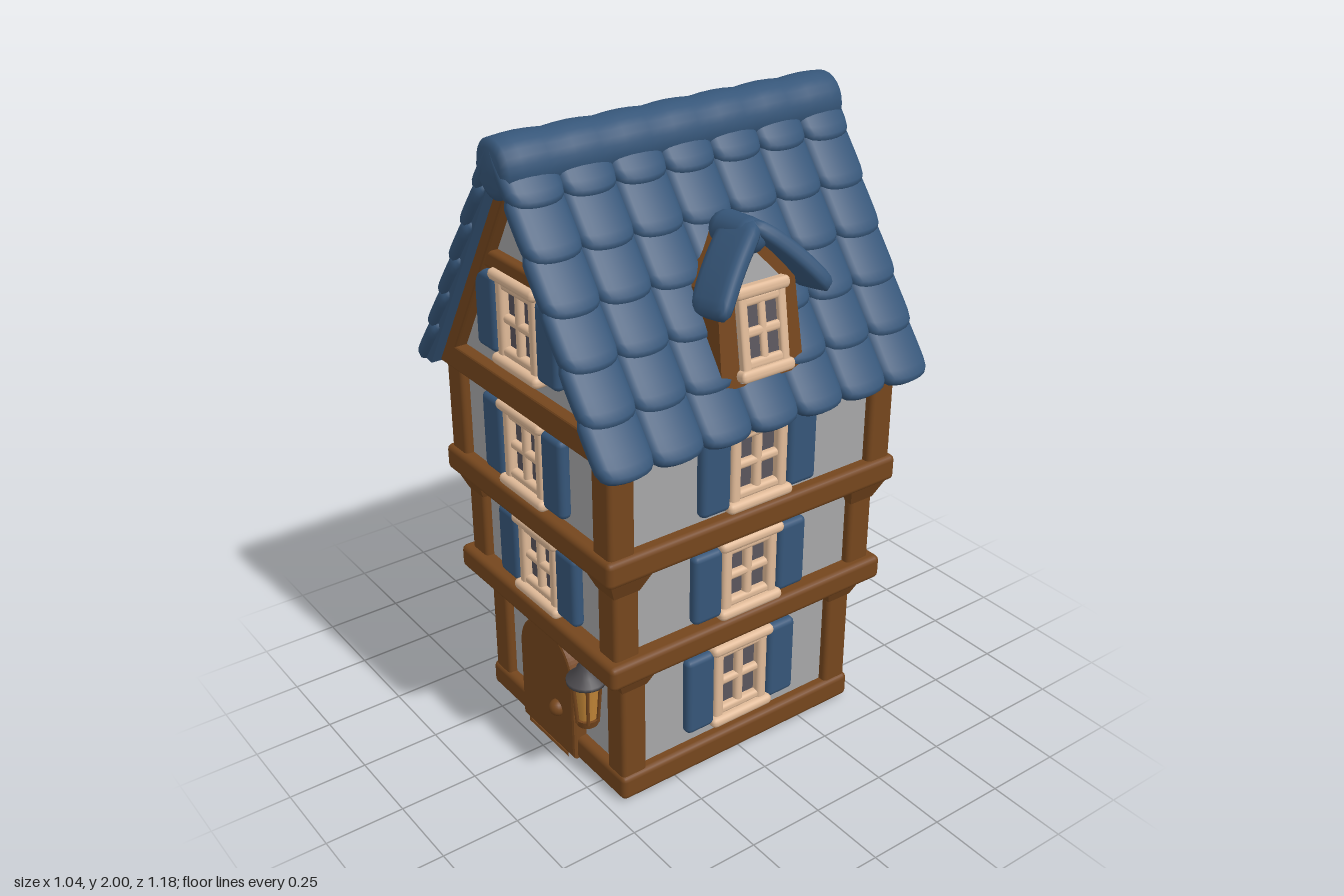
import * as THREE from 'three';
import { mergeGeometries, mergeVertices } from 'three/addons/utils/BufferGeometryUtils.js';
import { RoundedBoxGeometry } from 'three/addons/geometries/RoundedBoxGeometry.js';

const mat = (name, color) => Object.assign(new THREE.MeshStandardMaterial({ color }), { name });
const M = {
  blue: mat('slate blue', 0x365679), timber: mat('timber brown', 0x75461d),
  cream: mat('window cream', 0xe0ba98), wall: mat('plaster grey', 0xa6a6a8),
  glass: mat('window glass', 0x5a555c), iron: mat('lantern iron', 0x4c4a4e),
  amber: mat('lantern amber', 0xc08436),
};

function add(parent, name, geo, material, x = 0, y = 0, z = 0) {
  const m = new THREE.Mesh(geo, material);
  m.name = name;
  m.position.set(x, y, z);
  parent.add(m);
  return m;
}
const rbox = (w, h, d, r = 0.012) => new RoundedBoxGeometry(w, h, d, 2, Math.min(r, w / 2.1, h / 2.1, d / 2.1));
const poly = (pts) => pts.map(([x, y]) => new THREE.Vector2(x, y));
const extrude = (shape, depth, bevel = 0) => new THREE.ExtrudeGeometry(shape, {
  depth, curveSegments: 20, bevelEnabled: bevel > 0, bevelSize: bevel, bevelThickness: bevel, bevelOffset: -bevel, bevelSegments: 2,
});

// Box softened into a superellipsoid, then bent by a rule on (-1..1) coordinates
function softBox(w, h, d, bend) {
  const g = new THREE.BoxGeometry(2, 2, 2, 6, 4, 8);
  g.deleteAttribute('uv');
  g.deleteAttribute('normal');
  const geo = mergeVertices(g), p = geo.attributes.position, v = new THREE.Vector3();
  for (let i = 0; i < p.count; i++) {
    v.fromBufferAttribute(p, i);
    const big = Math.max(Math.abs(v.x), Math.abs(v.y), Math.abs(v.z));
    v.multiplyScalar(big / Math.pow(v.x ** 6 + v.y ** 6 + v.z ** 6, 1 / 6));
    const n = v.clone();
    v.set(v.x * w / 2, v.y * h / 2, v.z * d / 2);
    bend(v, n);
    p.setXYZ(i, v.x, v.y, v.z);
  }
  geo.computeVertexNormals();
  return geo;
}

// Four-pane window facing +z, with optional shutters
function makeWindow(h, shutterH) {
  const g = new THREE.Group();
  g.name = 'window';
  add(g, 'glass', new THREE.BoxGeometry(0.18, h - 0.04, 0.008), M.glass, 0, 0, 0.004);
  for (const s of [-1, 1]) {
    add(g, 'stile', rbox(0.035, h - 0.04, 0.045), M.cream, s * 0.085, 0, 0.012);
    add(g, 'rail', rbox(0.17, 0.03, 0.04), M.cream, 0, s * (h / 2 - 0.045), 0.01);
    add(g, s > 0 ? 'lintel' : 'sill', rbox(0.235, 0.035, 0.065, 0.016), M.cream, 0, s * (h / 2 - 0.0175), 0.017);
    if (shutterH) add(g, 'shutter', rbox(0.105, shutterH, 0.04, 0.018), M.blue, s * 0.158, 0, 0.018);
  }
  add(g, 'mullion', rbox(0.03, h - 0.05, 0.03), M.cream, 0, 0, 0.012);
  add(g, 'crossbar', rbox(0.17, 0.028, 0.03), M.cream, 0, 0, 0.012);
  return g;
}

function makeDoor() {
  const g = new THREE.Group();
  g.name = 'door';
  const arch = (Type, r) => new Type().moveTo(-r, 0).lineTo(r, 0).lineTo(r, 0.28).absarc(0, 0.28, r, 0, Math.PI, false).lineTo(-r, 0);
  const frame = arch(THREE.Shape, 0.15);
  frame.holes.push(arch(THREE.Path, 0.105));
  add(g, 'doorFrame', extrude(frame, 0.05, 0.01), M.timber, 0, 0.005, 0.405);
  add(g, 'doorLeaf', extrude(arch(THREE.Shape, 0.11), 0.047), M.timber, 0, 0.005, 0.405);
  add(g, 'doorKnob', new THREE.SphereGeometry(0.028, 16, 12), M.timber, 0.06, 0.155, 0.465);
  g.position.x = -0.02;
  return g;
}

function makeLantern() {
  const g = new THREE.Group();
  g.name = 'lantern';
  const profile = [[0, 0.425], [0.016, 0.42], [0.02, 0.405], [0.028, 0.395], [0.036, 0.37], [0.062, 0.352], [0.062, 0.34], [0, 0.335]];
  add(g, 'lanternCap', new THREE.LatheGeometry(poly(profile).reverse(), 20), M.iron);
  add(g, 'lanternGlass', new THREE.CylinderGeometry(0.04, 0.03, 0.14, 16), M.amber, 0, 0.27, 0);
  add(g, 'lanternBase', new THREE.CylinderGeometry(0.04, 0.034, 0.025, 16), M.timber, 0, 0.197, 0);
  for (let i = 0; i < 6; i++) {
    const a = i * Math.PI / 3;
    const bar = new THREE.TubeGeometry(new THREE.LineCurve3(
      new THREE.Vector3(0.036 * Math.sin(a), 0.2, 0.036 * Math.cos(a)),
      new THREE.Vector3(0.048 * Math.sin(a), 0.345, 0.048 * Math.cos(a))), 1, 0.006, 6);
    add(g, 'lanternBar', bar, M.timber);
  }
  g.position.set(0.19, 0, 0.452);
  return g;
}

// Dormer facing +x, leaning back slightly
function makeDormer() {
  const g = new THREE.Group();
  g.name = 'dormer';
  const body = new THREE.Shape(poly([[-0.145, -0.01], [0.145, -0.01], [0.135, 0.27], [0, 0.42], [-0.135, 0.27]]));
  add(g, 'dormerBody', extrude(body, 0.22), M.timber, -0.22).rotation.y = Math.PI / 2;
  const panel = new THREE.Shape(poly([[-0.08, 0], [0.08, 0], [0.08, 0.27], [0, 0.355], [-0.08, 0.27]]));
  add(g, 'dormerPanel', extrude(panel, 0.006), M.wall).rotation.y = Math.PI / 2;
  const win = makeWindow(0.27);
  win.scale.set(0.8, 1, 0.6);
  win.position.set(0.005, 0.14, 0);
  win.rotation.y = Math.PI / 2;
  g.add(win);
  // Swept roof wings
  for (const s of [-1, 1]) {
    const wing = softBox(0.15, 0.05, 0.29, (v, n) => {
      v.x += 0.035 * n.z * s;
      v.y -= 0.012 * n.z * n.z;
    });
    const m = add(g, 'dormerRoof', wing, M.blue, -0.005, 0.335, s * 0.1);
    m.rotation.x = s * 0.82;
  }
  const cap = add(g, 'dormerRidge', new THREE.CapsuleGeometry(0.052, 0.09, 8, 16), M.blue, -0.065, 0.4, 0);
  cap.rotation.z = Math.PI / 2 - 0.1;
  g.position.set(0.435, 1.32, 0);
  g.rotation.z = 0.15;
  return g;
}

function makeRoof() {
  const roof = new THREE.Group();
  roof.name = 'roof';
  const deck = new THREE.Shape(poly([[-0.485, 1.2], [-0.44, 1.19], [0, 1.92], [0.44, 1.19], [0.485, 1.2], [0, 1.975]]));
  add(roof, 'roofDeck', extrude(deck, 1.13), M.blue, 0, 0, -0.565);
  // Six courses of seven bulging tiles on each slope
  const rows = 6, cols = 7, pitch = 0.149, step = 0.166, tiles = [];
  for (let r = 0; r < rows; r++) for (let c = 0; c < cols; c++) {
    const t = softBox(0.19, 0.045, 0.176, (v, n) => {
      const crown = 1 - n.z * n.z;
      v.y += 0.012 * crown;
      if (n.x > 0) v.x += 0.018 * crown * n.x;
    });
    t.rotateZ(0.1);
    t.translate((r + 0.5) * pitch - 0.01, 0.008, (c - 3) * step);
    tiles.push(t);
  }
  const geo = mergeGeometries(tiles);
  for (const turn of [0, Math.PI]) {
    const side = new THREE.Group();
    side.name = 'roofSlope';
    side.rotation.y = turn;
    add(side, 'roofTiles', geo, M.blue, 0, 1.955, 0).rotation.z = Math.atan2(-0.76, 0.47);
    roof.add(side);
  }
  // Ridge roll
  const pts = [[0, -0.588], [0.06, -0.584]];
  for (let i = 0; i <= 28; i++) pts.push([0.084 + 0.005 * Math.abs(Math.sin(i * Math.PI / 4)), -0.57 + i * 1.14 / 28]);
  pts.push([0.06, 0.584], [0, 0.588]);
  add(roof, 'ridge', new THREE.LatheGeometry(poly(pts), 24), M.blue, 0, 1.91, 0).rotation.x = Math.PI / 2;
  return roof;
}

export function createModel() {
  const house = new THREE.Group();
  house.name = 'townhouse';

  // Horizontal beams between storeys: half width, half depth, bottom, top
  for (const [hx, hz, y0, y1] of [[0.38, 0.452, 0, 0.085], [0.428, 0.517, 0.46, 0.54], [0.445, 0.535, 0.82, 0.905]])
    add(house, 'floorBeam', rbox(hx * 2, y1 - y0, hz * 2, 0.018), M.timber, 0, (y0 + y1) / 2, 0);

  const place = (win, turn, dist, y) => {
    win.rotation.y = turn;
    win.position.set(Math.sin(turn) * dist, y, Math.cos(turn) * dist);
    house.add(win);
  };

  // Storeys, each wider than the one below
  const storeys = [
    { hx: 0.37, hz: 0.445, y0: 0.06, y1: 0.48, wy: 0.27, wh: 0.3, sh: 0.27 },
    { hx: 0.4, hz: 0.488, y0: 0.52, y1: 0.84, wy: 0.67, wh: 0.27, sh: 0.235 },
    { hx: 0.43, hz: 0.52, y0: 0.88, y1: 1.22, wy: 1.055, wh: 0.28, sh: 0.25 },
  ];
  storeys.forEach(({ hx, hz, y0, y1, wy, wh, sh }, i) => {
    const h = y1 - y0, inset = 0.027;
    add(house, 'wall', new THREE.BoxGeometry((hx - inset) * 2, h, (hz - inset) * 2), M.wall, 0, y0 + h / 2, 0);
    for (const sx of [-1, 1]) for (const sz of [-1, 1]) {
      const x = sx * (hx - 0.044), z = sz * (hz - 0.044);
      add(house, 'cornerPost', rbox(0.088, h, 0.088, 0.014), M.timber, x, y0 + h / 2, z);
      if (i < 2) {
        const flare = new THREE.CylinderGeometry(0.074 * Math.SQRT2, 0.044 * Math.SQRT2, 0.07, 4).rotateY(Math.PI / 4).toNonIndexed();
        flare.computeVertexNormals();
        add(house, 'corbel', flare, M.timber, x, y1 - 0.05, z);
      }
    }
    for (let k = 0; k < 4; k++) {
      if (i === 0 && k === 0) continue;
      place(makeWindow(wh, sh), k * Math.PI / 2, (k % 2 ? hx : hz) - inset, wy);
    }
  });

  // Gables with rafters, tie beam and collar
  add(house, 'gableWall', extrude(new THREE.Shape(poly([[-0.42, 1.2], [0.42, 1.2], [0, 1.91]])), 0.99), M.wall, 0, 0, -0.495);
  const truss = new THREE.Shape(poly([[-0.455, 1.19], [0.455, 1.19], [0, 1.935]]));
  truss.holes.push(new THREE.Path(poly([[-0.34, 1.27], [0, 1.85], [0.34, 1.27]])));
  for (const s of [-1, 1]) {
    add(house, 'gableTruss', extrude(truss, 0.05, 0.008), M.timber, 0, 0, s * 0.5 - 0.025);
    add(house, 'collarBeam', rbox(0.36, 0.055, 0.05), M.timber, 0, 1.607, s * 0.5);
    place(makeWindow(0.29, 0.24), s > 0 ? 0 : Math.PI, 0.495, 1.45);
  }

  house.add(makeDoor(), makeLantern(), makeRoof(), makeDormer());
  return house;
}
